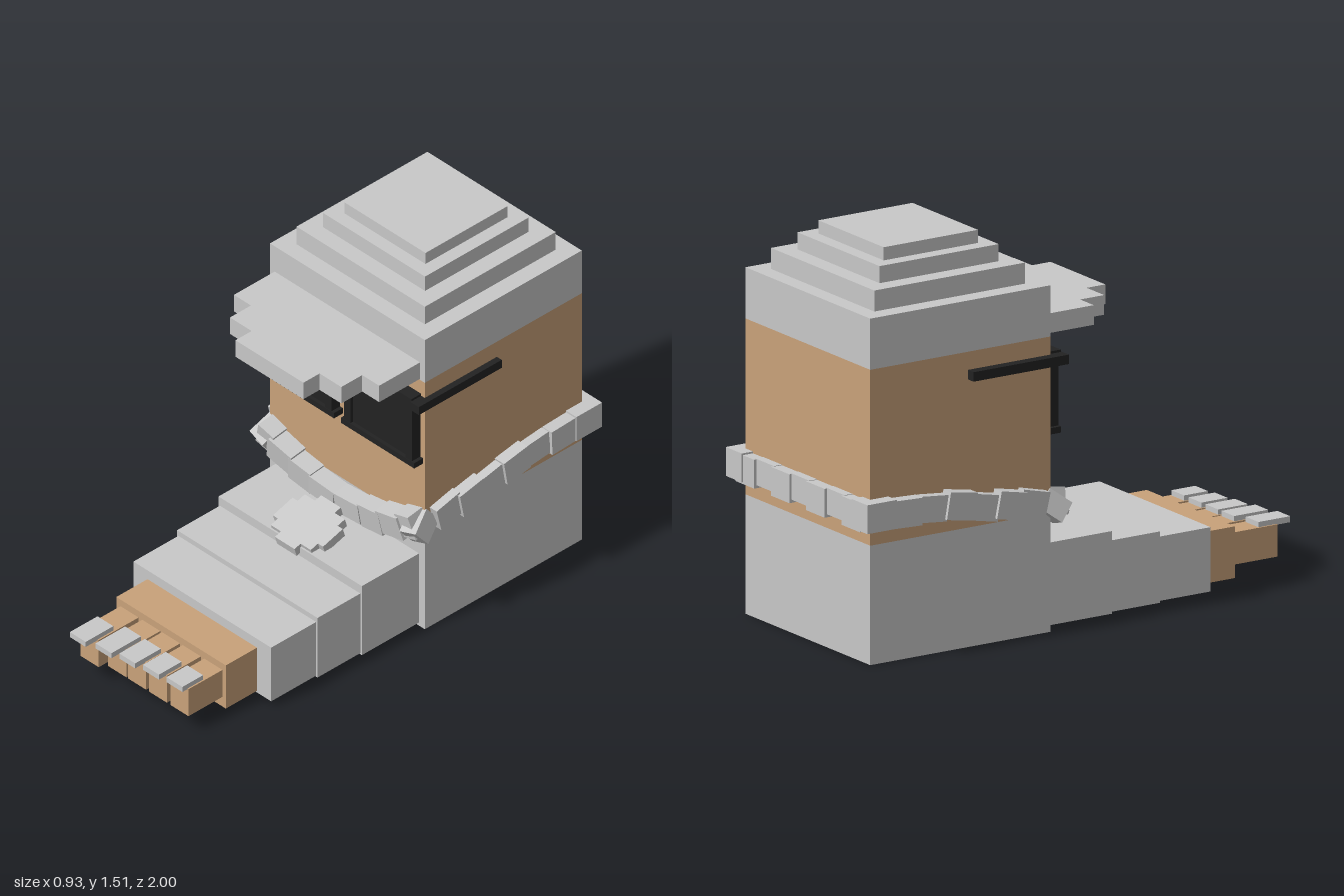
import * as THREE from 'three';

const material = (name, color) => {
  const m = new THREE.MeshStandardMaterial({ color });
  m.name = name;
  return m;
};

export function createModel() {
  const root = new THREE.Group();
  root.name = 'figure';
  const grey = material('grey', 0xc8c8c8);
  const tan = material('tan', 0xc9a27a);
  const black = material('black', 0x222222);

  const group = (name) => {
    const g = new THREE.Group();
    g.name = name;
    root.add(g);
    return g;
  };
  // Box given by its extents on each axis
  const box = (parent, name, mat, [x0, x1], [y0, y1], [z0, z1]) => {
    const mesh = new THREE.Mesh(new THREE.BoxGeometry(x1 - x0, y1 - y0, z1 - z0), mat);
    mesh.position.set((x0 + x1) / 2, (y0 + y1) / 2, (z0 + z1) / 2);
    mesh.name = name;
    parent.add(mesh);
    return mesh;
  };
  const sym = (w) => [-w, w];

  // Body column: trousers or shirt, face, cap band
  const depth = [-0.95, -0.155];
  box(root, 'lowerBody', grey, sym(0.41), [0, 0.455], depth);
  box(root, 'face', tan, sym(0.41), [0.455, 1.125], depth);
  const cap = group('cap');
  box(cap, 'capBand', grey, sym(0.41), [1.125, 1.32], depth);

  // Stepped crown
  [
    [0.34, 1.32, 1.4, -0.885, -0.222],
    [0.27, 1.4, 1.465, -0.815, -0.29],
    [0.215, 1.465, 1.515, -0.76, -0.345],
  ].forEach(([w, y0, y1, z0, z1]) => box(cap, 'crownStep', grey, sym(w), [y0, y1], [z0, z1]));

  // Stepped brim
  const brimShape = new THREE.Shape([
    [-0.385, 0.155], [-0.385, -0.052], [-0.295, -0.052], [-0.295, -0.158], [-0.18, -0.158], [-0.18, -0.24],
    [0.18, -0.24], [0.18, -0.158], [0.295, -0.158], [0.295, -0.052], [0.385, -0.052], [0.385, 0.155],
  ].map(([x, y]) => new THREE.Vector2(x, y)));
  const brim = new THREE.Mesh(new THREE.ExtrudeGeometry(brimShape, { depth: 0.075, bevelEnabled: false }), grey);
  brim.rotation.x = -Math.PI / 2;
  brim.position.y = 1.13;
  brim.name = 'brim';
  cap.add(brim);

  // Foot: sleeve segments, then toes with nails
  const foot = group('foot');
  box(foot, 'footSegment', grey, sym(0.38), [0.015, 0.33], [-0.155, 0.135]);
  box(foot, 'footSegment', grey, sym(0.372), [0.02, 0.292], [0.135, 0.352]);
  box(foot, 'footSegment', grey, sym(0.365), [0.025, 0.27], [0.352, 0.58]);
  box(foot, 'footFront', tan, sym(0.29), [0.033, 0.23], [0.58, 0.738]);
  [
    [-0.22, 0.94, 0.86, 1.0],
    [-0.105, 0.91, 0.83, 0.98],
    [0.0, 0.91, 0.83, 0.96],
    [0.11, 0.91, 0.83, 0.945],
    [0.224, 0.91, 0.83, 0.935],
  ].forEach(([x, end, n0, n1]) => {
    box(foot, 'toe', tan, [x - 0.048, x + 0.048], [0.077, 0.2], [0.738, end]);
    box(foot, 'toenail', grey, [x - 0.042, x + 0.042], [0.197, 0.22], [n0, n1]);
  });

  // Sunglasses
  const glasses = group('sunglasses');
  for (const c of [-0.218, 0.207]) {
    box(glasses, 'lens', black, [c - 0.15, c + 0.15], [0.775, 1.02], [-0.155, -0.125]);
    box(glasses, 'topRim', black, [c - 0.184, c + 0.184], [1.015, 1.065], [-0.155, -0.105]);
    box(glasses, 'bottomRim', black, [c - 0.194, c + 0.194], [0.752, 0.776], [-0.155, -0.11]);
    for (const s of [-1, 1]) {
      const x = c + s * 0.162;
      box(glasses, 'sideRim', black, [x - 0.017, x + 0.017], [0.76, 1.06], [-0.155, -0.112]);
    }
  }
  box(glasses, 'bridge', black, [-0.04, 0.03], [1.02, 1.055], [-0.155, -0.11]);
  for (const [x0, x1] of [[-0.448, -0.4], [0.39, 0.436]]) {
    box(glasses, 'temple', black, [x0, x1], [1.02, 1.056], [-0.52, -0.1]);
  }

  // Chain of square links around the neck
  const chain = group('chain');
  const link = (x, y, z, [w, h, d], rx = 0, ry = 0, rz = 0) => {
    const mesh = new THREE.Mesh(new THREE.BoxGeometry(w, h, d), grey);
    mesh.position.set(x, y, z);
    mesh.rotation.set(rx, ry, rz);
    mesh.name = 'chainLink';
    chain.add(mesh);
  };
  const sideLinks = [
    [-0.25, 0.51, 0.24], [-0.355, 0.523, 0.2], [-0.462, 0.53, 0.2],
    [-0.577, 0.557, 0.17], [-0.692, 0.562, 0.1], [-0.812, 0.568, 0.04],
  ];
  for (const s of [-1, 1]) {
    // Twisted front corner, sides and back corner
    link(s * 0.395, 0.475, -0.142, [0.08, 0.085, 0.105], 0.65, s * 0.25, s * 0.15);
    sideLinks.forEach(([z, y, r], i) => {
      const w = i % 2 ? 0.1 : 0.075;
      link(s * 0.41, y, z, [w, i % 2 ? 0.105 : 0.1, 0.12], r);
    });
    link(s * 0.413, 0.575, -0.935, [0.105, 0.11, 0.13]);
    // Front swag
    link(s * 0.372, 0.485, -0.13, [0.08, 0.1, 0.08], 0.15, 0, s * 0.3);
    link(s * 0.292, 0.45, -0.128, [0.12, 0.1, 0.085], 0.15, 0, s * 0.25);
    link(s * 0.187, 0.417, -0.128, [0.115, 0.1, 0.08], 0.12, 0, s * 0.14);
    link(s * 0.068, 0.405, -0.128, [0.13, 0.085, 0.085], 0.1, 0, s * 0.08);
  }
  for (let i = -3; i <= 3; i++) {
    const big = i % 2 === 0;
    link(i * 0.116, big ? 0.575 : 0.568, -0.945, [0.122, big ? 0.1 : 0.11, big ? 0.08 : 0.1]);
  }

  // Tilted stepped pendant
  const pendant = group('pendant');
  pendant.position.set(0, 0.353, 0.04);
  pendant.rotation.x = 0.29;
  [[0.133, 0.052], [0.106, 0.09], [0.052, 0.122]].forEach(([w, d]) =>
    box(pendant, 'pendantStep', grey, sym(w), sym(0.019), sym(d)));

  return root;
}
